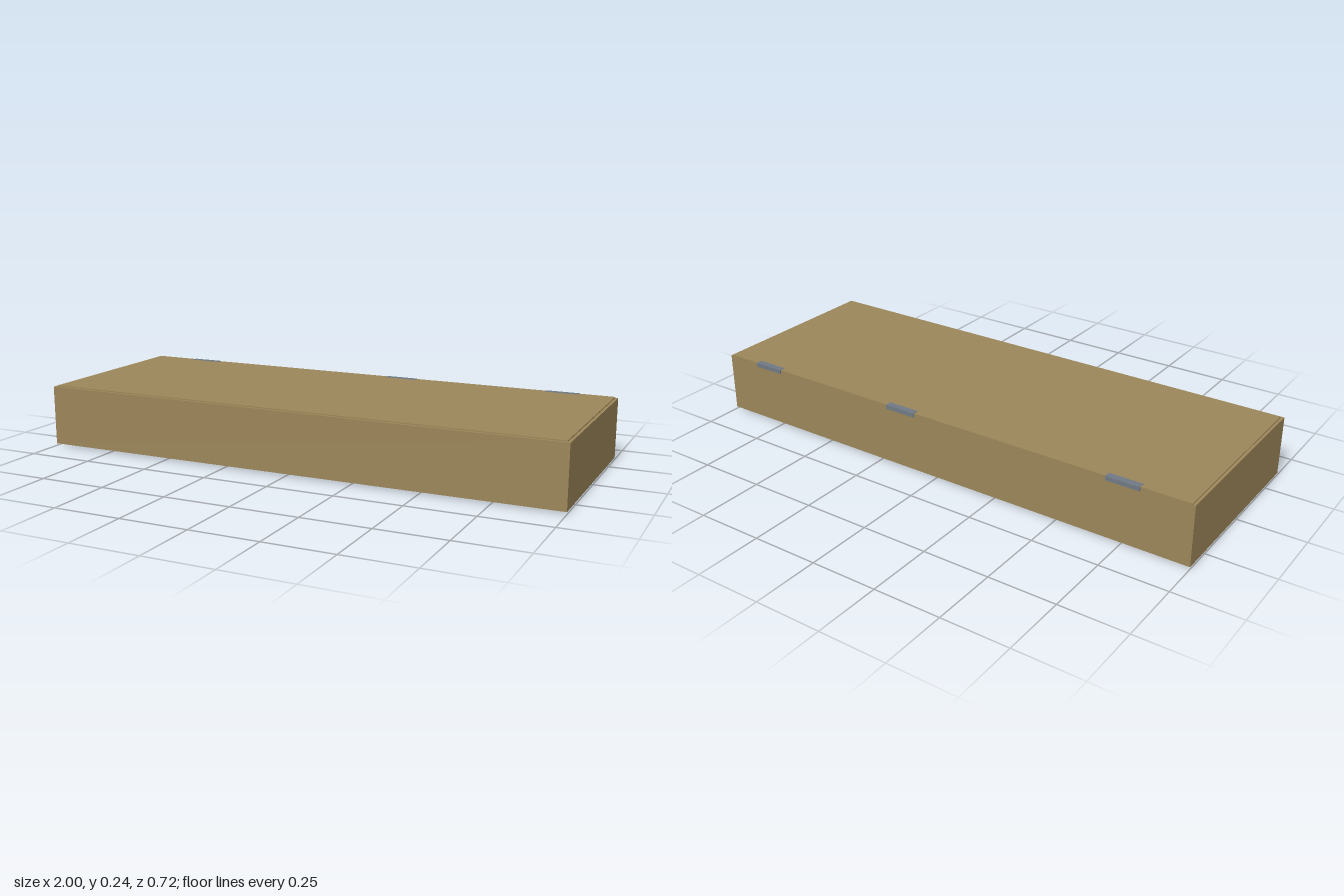
import * as THREE from 'three';

const wood = new THREE.MeshStandardMaterial({ color: 0x9c8659 });
const steel = new THREE.MeshStandardMaterial({ color: 0x707a84 });

// Box given by its min and max corners
function slab(parent, name, material, [x0, y0, z0], [x1, y1, z1]) {
  const mesh = new THREE.Mesh(new THREE.BoxGeometry(x1 - x0, y1 - y0, z1 - z0), material);
  mesh.position.set((x0 + x1) / 2, (y0 + y1) / 2, (z0 + z1) / 2);
  mesh.name = name;
  parent.add(mesh);
  return mesh;
}

export function createModel() {
  const chest = new THREE.Group();
  chest.name = 'flatChest';

  const bottom = 0.008, rim = 0.233, top = 0.237;
  const front = 0.362, back = -0.357, wall = 0.011;

  // Open tray: floor and four walls, the back one lower to carry the lid
  const tray = new THREE.Group();
  tray.name = 'tray';
  chest.add(tray);
  slab(tray, 'floor', wood, [-1 + wall, bottom, back + wall], [1 - wall, bottom + wall, front - wall]);
  slab(tray, 'frontWall', wood, [-1 + wall, bottom, front - wall], [1 - wall, rim, front]);
  slab(tray, 'backWall', wood, [-1 + wall, bottom, back], [1 - wall, top - wall, back + wall]);
  slab(tray, 'rightWall', wood, [-1, bottom, back], [-1 + wall, rim, front]);
  slab(tray, 'leftWall', wood, [1 - wall, bottom, back], [1, rim, front]);

  // Lid, set between the walls and standing slightly proud
  slab(chest, 'lid', wood, [-1 + wall, top - wall, back], [1 - wall, top, front - wall]);

  // Hinges: a leaf on the lid, a leaf on the back and a pin along the edge
  for (const x of [-0.748, 0.15, 0.795]) {
    const hinge = new THREE.Group();
    hinge.name = 'hinge';
    hinge.position.x = x;
    chest.add(hinge);
    const half = 0.062;
    slab(hinge, 'lidLeaf', steel, [-half, top - 0.001, -0.36], [half, top + 0.001, -0.336]);
    slab(hinge, 'backLeaf', steel, [-half, 0.222, -0.361], [half, top, back + 0.001]);
    const pin = new THREE.Mesh(new THREE.CylinderGeometry(0.003, 0.003, 2 * half, 12), steel);
    pin.name = 'hingePin';
    pin.rotation.z = Math.PI / 2;
    pin.position.set(0, top - 0.002, -0.358);
    hinge.add(pin);
  }

  // Three rows of skids below, each split in three
  for (const x of [-0.68, 0.04, 0.69]) {
    for (const [z0, z1] of [[0.133, 0.337], [-0.098, 0.105], [-0.33, -0.128]]) {
      slab(chest, 'skid', wood, [x - 0.025, 0, z0], [x + 0.025, bottom, z1]);
    }
  }
  return chest;
}
